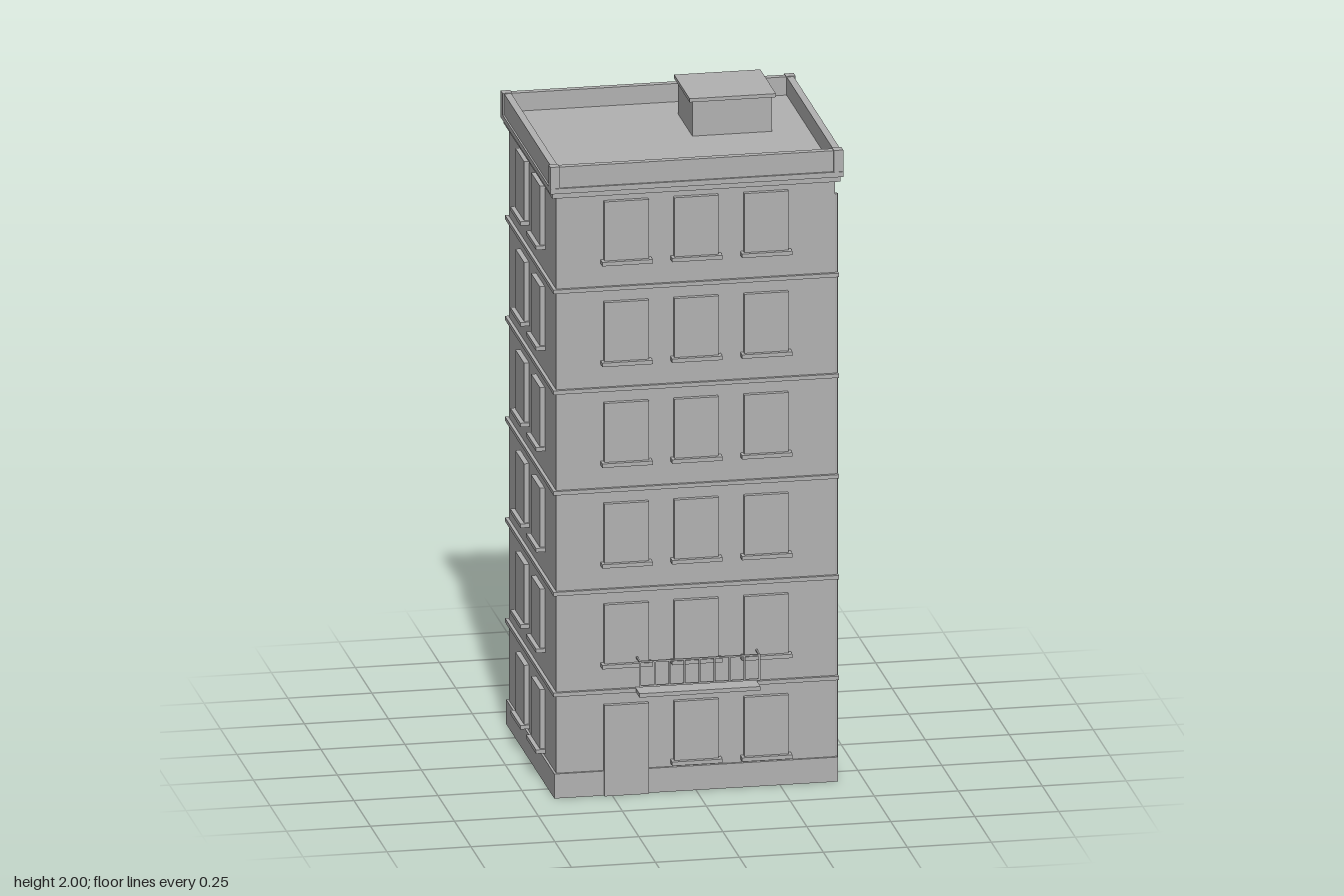
import * as THREE from 'three';

const stone = new THREE.MeshStandardMaterial({ color: 0xb2b2b2 });
stone.name = 'light grey';

const CZ = -0.02;                 // centre of the building in z
const HX = 0.415, HZ = 0.357;     // half sizes of the walls
const FLOORS = 6, FLOOR_H = 0.309;

// Box given by its lower and upper bounds
function box(parent, name, x0, x1, y0, y1, z0, z1) {
  const mesh = new THREE.Mesh(new THREE.BoxGeometry(x1 - x0, y1 - y0, z1 - z0), stone);
  mesh.position.set((x0 + x1) / 2, (y0 + y1) / 2, (z0 + z1) / 2);
  mesh.name = name;
  parent.add(mesh);
  return mesh;
}

// Slab around the building, reaching out past the walls
function band(parent, name, out, y0, y1) {
  return box(parent, name, -HX - out, HX + out, y0, y1, CZ - HZ - out, CZ + HZ + out);
}

// Window plate with sill; local z = 0 is the wall face
function makeWindow(y) {
  const g = new THREE.Group();
  g.name = 'window';
  box(g, 'windowPane', -0.066, 0.066, y + 0.096, y + 0.278, -0.01, 0.015);
  box(g, 'windowSill', -0.075, 0.075, y + 0.085, y + 0.097, -0.01, 0.028);
  return g;
}

export function createModel() {
  const model = new THREE.Group();
  model.name = 'apartmentBuilding';

  // Walls, plinth and the bands between floors
  band(model, 'walls', 0, 0, 1.87);
  band(model, 'plinth', 0.007, 0, 0.075);
  for (let i = 1; i < FLOORS; i++) {
    const y = 0.009 + i * FLOOR_H;
    band(model, 'floorBand', 0.01, y - 0.006, y + 0.006);
  }

  // Windows on the four sides: angle, wall distance, offsets along the wall
  const sides = [
    ['front', 0, HZ, [-0.208, 0, 0.208]],
    ['back', Math.PI, HZ, [-0.208, 0, 0.208]],
    ['left', Math.PI / 2, HX, [-0.119, 0.119]],
    ['right', -Math.PI / 2, HX, [-0.119, 0.119]],
  ];
  for (const [name, angle, dist, offsets] of sides) {
    const side = new THREE.Group();
    side.name = name + 'Windows';
    side.position.z = CZ;
    side.rotation.y = angle;
    for (let f = 0; f < FLOORS; f++) {
      offsets.forEach((x, i) => {
        if (name === 'front' && f === 0 && i === 0) return; // door goes here
        const win = makeWindow(f * FLOOR_H);
        win.position.set(x, 0, dist);
        side.add(win);
      });
    }
    model.add(side);
  }

  // Entrance door
  box(model, 'door', -0.274, -0.142, 0, 0.278, CZ + HZ - 0.01, CZ + HZ + 0.015);

  // Balcony slab with a thin railing
  const balcony = new THREE.Group();
  balcony.name = 'balcony';
  const wallZ = CZ + HZ, r = 0.0025, railZ = 0.398, railX = 0.178;
  box(balcony, 'balconySlab', -0.18, 0.18, 0.313, 0.325, wallZ - 0.01, 0.403);
  for (const y of [0.346, 0.421]) {
    box(balcony, 'railingRail', -railX - r, railX + r, y - r, y + r, railZ - r, railZ + r);
  }
  for (let i = 0; i <= 8; i++) {
    const x = -railX + (i * railX) / 4;
    box(balcony, 'railingBar', x - r, x + r, 0.344, 0.423, railZ - r, railZ + r);
  }
  for (const x of [-railX, railX]) {
    box(balcony, 'railingSide', x - r, x + r, 0.4185, 0.4235, wallZ, railZ);
  }
  model.add(balcony);

  // Cornice in two steps and the flat roof
  band(model, 'corniceLower', 0.014, 1.842, 1.858);
  band(model, 'corniceUpper', 0.021, 1.858, 1.874);
  band(model, 'roof', 0.008, 1.874, 1.882);

  // Parapet walls with corner posts
  const ox = 0.431, oz = 0.371, t = 0.021, top = 1.938;
  for (const s of [-1, 1]) {
    const px = s * (ox - t / 2), pz = CZ + s * (oz - t / 2);
    box(model, 'parapetSide', px - t / 2, px + t / 2, 1.87, top, CZ - oz, CZ + oz);
    box(model, 'parapetEnd', -ox + t, ox - t, 1.87, top, pz - t / 2, pz + t / 2);
    for (const u of [-1, 1]) {
      const cx = s * 0.422, cz = CZ + u * 0.362, h = 0.014;
      box(model, 'parapetPost', cx - h, cx + h, 1.87, top + 0.002, cz - h, cz + h);
    }
  }

  // Stair hut on the roof
  box(model, 'roofHut', 0.064, 0.301, 1.875, 1.99, -0.253, -0.037);
  box(model, 'roofHutCap', 0.054, 0.311, 1.989, 2.0, -0.264, -0.028);

  // Drainpipe by the front left corner
  const pipe = new THREE.Mesh(new THREE.CylinderGeometry(0.006, 0.006, 1.73, 8), stone);
  pipe.name = 'drainpipe';
  pipe.position.set(HX + 0.004, 0.935, CZ + HZ - 0.008);
  model.add(pipe);

  return model;
}
